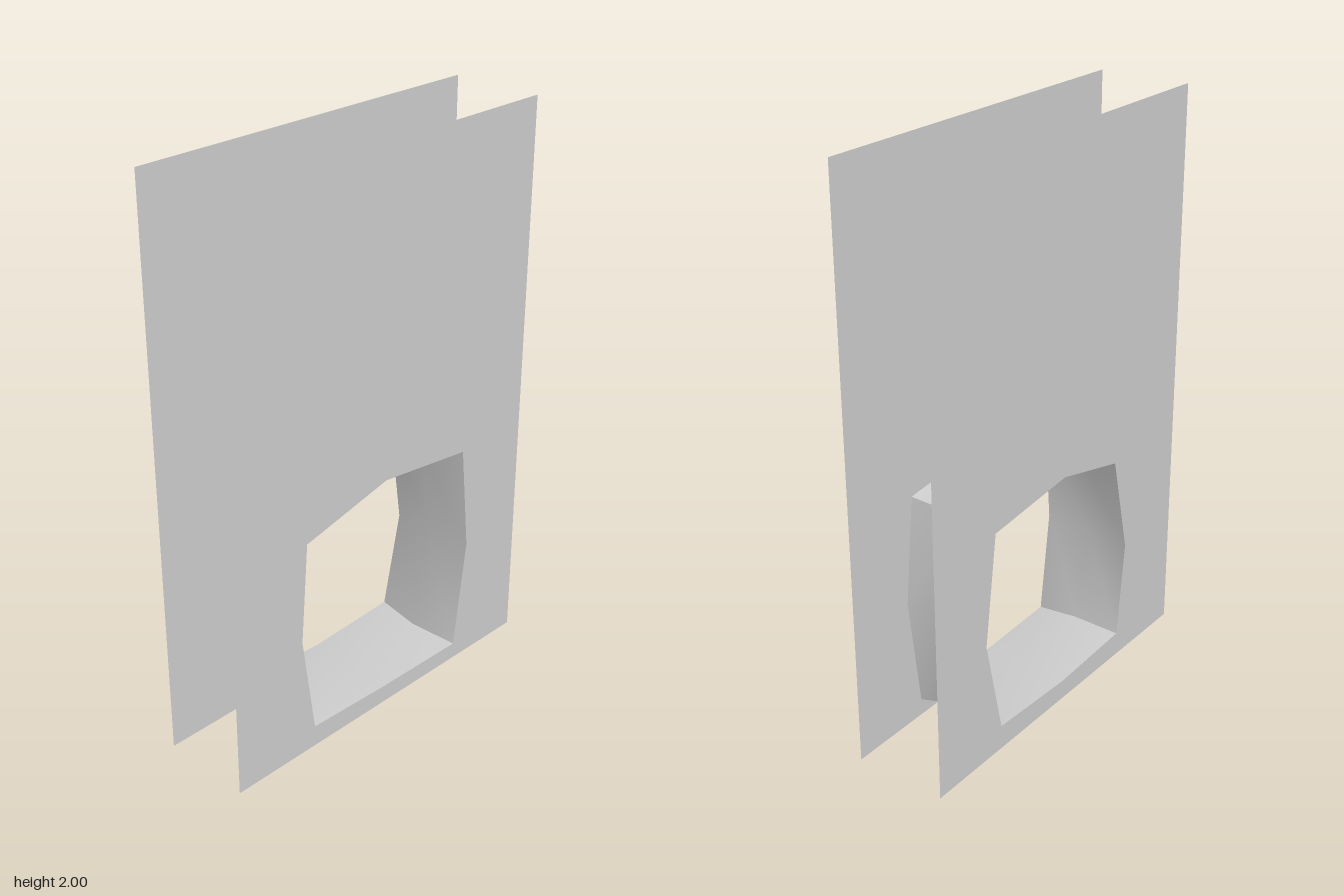
import * as THREE from 'three';
import { toCreasedNormals } from 'three/addons/utils/BufferGeometryUtils.js';

const HALF_GAP = 0.165, HALF_DEPTH = 0.665, HEIGHT = 2;

// Tunnel cross-sections as [z, y] rings, from the right wall to the left wall
const rings = [
  { x: -HALF_GAP, points: [[0.295, 0.785], [0, 0.855], [-0.368, 0.815], [-0.42, 0.43], [-0.346, 0.087], [0, 0.07], [0.335, 0.087], [0.375, 0.43]] },
  { x: 0, points: [[0.31, 0.79], [0, 0.825], [-0.345, 0.815], [-0.39, 0.48], [-0.32, 0.085], [0, 0.073], [0.315, 0.105], [0.38, 0.44]] },
  { x: HALF_GAP, points: [[0.353, 0.797], [0, 0.882], [-0.372, 0.84], [-0.41, 0.46], [-0.358, 0.06], [0, 0.065], [0.33, 0.078], [0.38, 0.44]] },
];

// Flat wall in the yz plane, pierced by the outline of a ring
function wallGeometry({ x, points }) {
  const shape = new THREE.Shape([
    new THREE.Vector2(-HALF_DEPTH, 0), new THREE.Vector2(HALF_DEPTH, 0),
    new THREE.Vector2(HALF_DEPTH, HEIGHT), new THREE.Vector2(-HALF_DEPTH, HEIGHT),
  ]);
  shape.holes.push(new THREE.Path(points.map(([z, y]) => new THREE.Vector2(-z, y))));
  return new THREE.ShapeGeometry(shape).rotateY(Math.PI / 2).translate(x, 0, 0);
}

// Skin joining the rings, facing the inside of the opening
function tunnelGeometry() {
  const n = rings[0].points.length;
  const positions = rings.flatMap(({ x, points }) => points.flatMap(([z, y]) => [x, y, z]));
  const index = [];
  for (let r = 0; r < rings.length - 1; r++) {
    for (let i = 0; i < n; i++) {
      const a = r * n + i, b = r * n + (i + 1) % n;
      index.push(a, b, b + n, a, b + n, a + n);
    }
  }
  const geometry = new THREE.BufferGeometry();
  geometry.setAttribute('position', new THREE.Float32BufferAttribute(positions, 3));
  geometry.setIndex(index);
  return toCreasedNormals(geometry, 0.6);
}

export function createModel() {
  const group = new THREE.Group();
  group.name = 'wallWithOpening';
  const material = new THREE.MeshStandardMaterial({ color: 0xcccccc, side: THREE.DoubleSide });
  const add = (name, geometry) => {
    const mesh = new THREE.Mesh(geometry, material);
    mesh.name = name;
    group.add(mesh);
  };

  // Two parallel wall faces and the passage between them
  add('rightWall', wallGeometry(rings[0]));
  add('leftWall', wallGeometry(rings[2]));
  add('openingLining', tunnelGeometry());
  return group;
}
